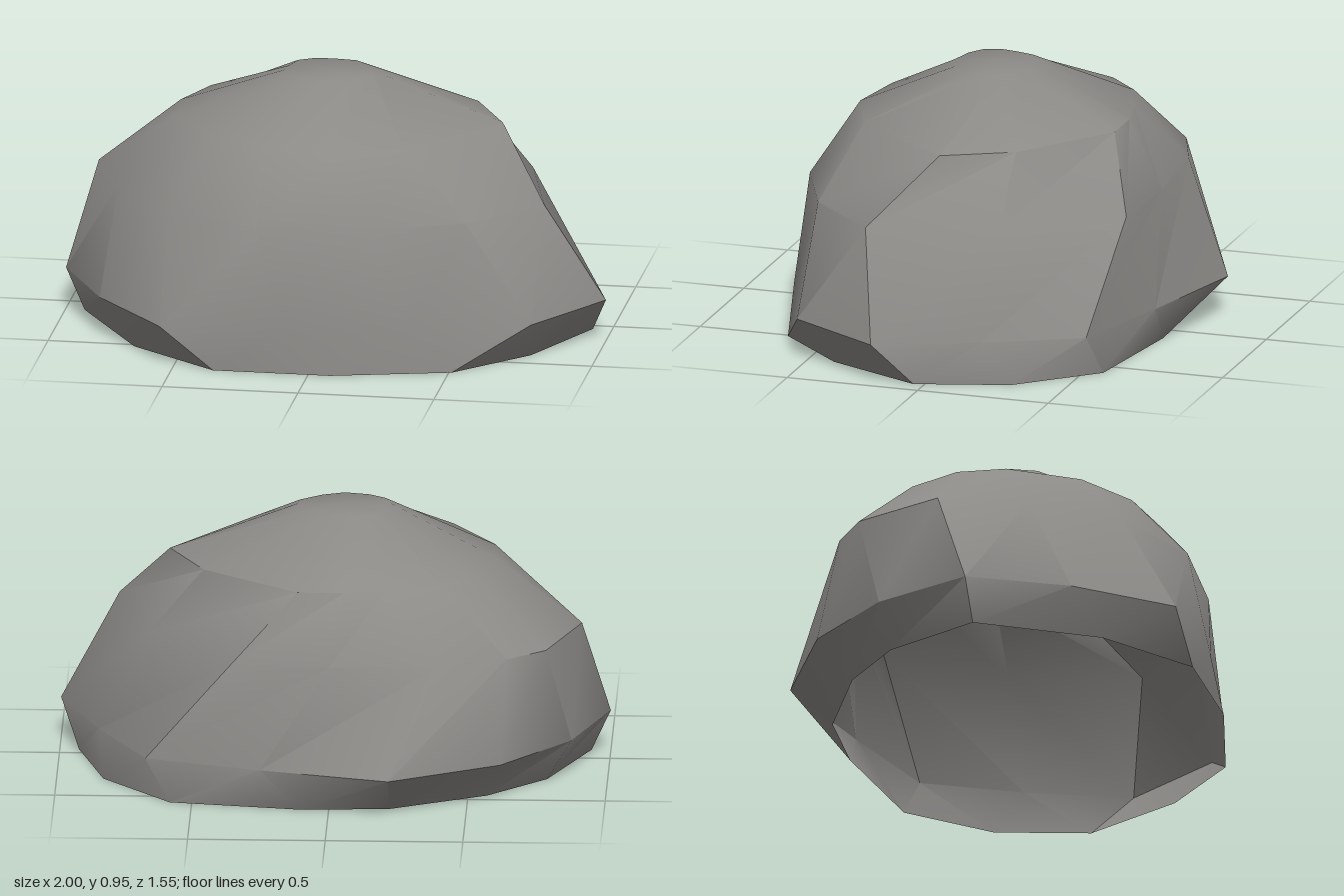
import * as THREE from 'three';
import { toCreasedNormals } from 'three/addons/utils/BufferGeometryUtils.js';

// Boulder cross-sections from the open base to the crown: height, then x/z outline
const rings = [
  { y: 0.01, p: [[.93, .04], [.76, .4], [.51, .66], [.08, .77], [-.35, .77], [-.68, .52], [-.93, .1],
    [-.78, -.25], [-.57, -.45], [-.22, -.62], [.1, -.64], [.58, -.57], [.83, -.3]] },
  { y: 0.165, p: [[1, .18], [.78, .535], [.35, .69], [-.1, .77], [-.55, .76], [-.82, .44], [-1, .09],
    [-.87, -.27], [-.62, -.57], [-.22, -.78], [.25, -.66], [.67, -.535], [.85, -.19]] },
  { y: 0.54, p: [[.79, .27], [.54, .535], [.2, .68], [-.2, .71], [-.55, .56], [-.78, .27], [-.9, -.04],
    [-.78, -.37], [-.64, -.48], [-.4, -.57], [0, -.6], [.36, -.585], [.67, -.2]] },
  { y: 0.78, p: [[.6, .05], [.3, .44], [.04, .54], [-.2, .5], [-.42, .37], [-.58, .13], [-.6, -.05],
    [-.52, -.24], [-.4, -.36], [-.2, -.43], [-.05, -.46], [.12, -.46], [.47, -.2]] },
  { y: 0.95, p: [[.14, .06], [.13, .11], [.05, .17], [-.03, .2], [-.12, .18], [-.18, .14], [-.2, .08],
    [-.19, .02], [-.17, -.05], [-.12, -.08], [-.05, -.09], [.04, -.08], [.11, -.02]] },
];

function boulderGeometry() {
  const positions = [];
  const index = [];
  const n = rings[0].p.length;

  for (const { y, p } of rings) for (const [x, z] of p) positions.push(x, y, z);
  positions.push(-0.04, 0.957, 0.06);

  // Sides
  for (let r = 0; r < rings.length - 1; r++) {
    for (let i = 0; i < n; i++) {
      const j = (i + 1) % n;
      const a = r * n + i, a1 = r * n + j, b = a + n, b1 = a1 + n;
      index.push(a, b, a1, a1, b, b1);
    }
  }

  // Crown
  const top = (rings.length - 1) * n;
  for (let i = 0; i < n; i++) index.push(top + i, top + n, top + (i + 1) % n);

  const geometry = new THREE.BufferGeometry();
  geometry.setAttribute('position', new THREE.Float32BufferAttribute(positions, 3));
  geometry.setIndex(index);
  return toCreasedNormals(geometry, 0.65);
}

export function createModel() {
  const stone = new THREE.MeshStandardMaterial({ color: 0x8c8a87, side: THREE.DoubleSide });
  stone.name = 'stone grey';

  const boulder = new THREE.Mesh(boulderGeometry(), stone);
  boulder.name = 'boulder';

  const group = new THREE.Group();
  group.name = 'rock';
  group.add(boulder);
  // Rest on the ground
  group.children[0].position.y = -0.01;
  return group;
}
